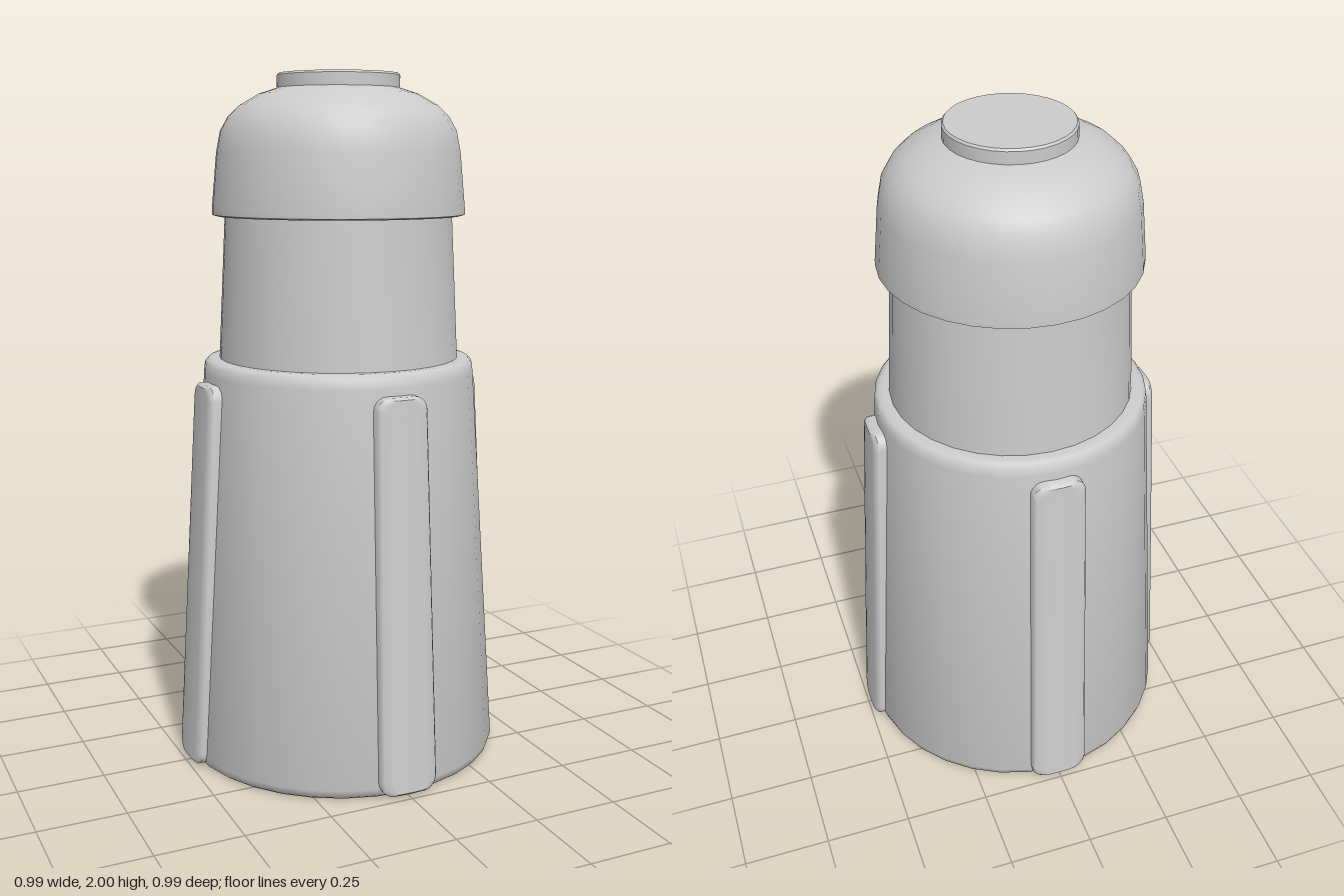
import * as THREE from 'three';
import { toCreasedNormals } from 'three/addons/utils/BufferGeometryUtils.js';

const material = new THREE.MeshStandardMaterial({ color: 0xcccccc });

function addMesh(group, name, geometry, crease = 0.7) {
  const mesh = new THREE.Mesh(toCreasedNormals(geometry, crease), material);
  mesh.name = name;
  group.add(mesh);
  return mesh;
}

// Turned part from [radius, height] pairs, listed upward along the outside
function turned(points) {
  return new THREE.LatheGeometry(points.map(([r, y]) => new THREE.Vector2(r, y)), 32);
}

// Tapered grip rib with round corners and a small bevel, wrapped round the body
function ribGeometry() {
  const steps = 5, rows = steps * 2 + 2, corner = 0.04;
  const geometry = new THREE.BoxGeometry(1, 1, 1, 6, rows, 2);
  const pos = geometry.attributes.position;
  for (let i = 0; i < pos.count; i++) {
    const layer = Math.round((pos.getZ(i) + 0.5) * 2); // 0 back, 1 bevel edge, 2 face
    const row = Math.round((pos.getY(i) + 0.5) * rows);
    const inset = layer === 2 ? 0.007 : 0;
    const bottom = 0.008 + inset, top = 1.13 - inset;
    const fromEnd = Math.min(row, rows - row, steps);
    const angle = (fromEnd / steps) * Math.PI / 2;
    const rise = corner * (1 - Math.cos(angle));
    let y = row < rows / 2 ? bottom + rise : top - rise;
    if (row === rows / 2) y = (bottom + top) / 2;
    const half = 0.088 - 0.012 * y / 1.13 - inset - corner * (1 - Math.sin(angle));
    const x = pos.getX(i) * 2 * half;
    const radius = 0.495 - 0.065 * y / 1.13 - [0.05, 0.008, 0][layer];
    pos.setXYZ(i, x, y, Math.sqrt(radius * radius - x * x));
  }
  return geometry;
}

export function createModel() {
  const group = new THREE.Group();

  // Hollow tapered body: ceiling, inner wall, rounded foot, outer wall, shoulder
  addMesh(group, 'body', turned([
    [0, 1.14], [0.35, 1.14], [0.42, 0.02], [0.428, 0.005], [0.44, 0],
    [0.455, 0], [0.466, 0.008], [0.473, 0.03],
    [0.398, 1.15], [0.395, 1.175], [0.385, 1.187], [0.37, 1.19], [0.33, 1.19],
  ]));

  addMesh(group, 'neck', turned([[0.352, 1.18], [0.329, 1.63]]));

  // Domed cap with an overhanging lip
  addMesh(group, 'cap', turned([
    [0.32, 1.605], [0.355, 1.6], [0.367, 1.604], [0.367, 1.62], [0.352, 1.78],
    [0.34, 1.84], [0.317, 1.88], [0.286, 1.91], [0.23, 1.942], [0.175, 1.96], [0, 1.965],
  ]));

  addMesh(group, 'topButton', turned([[0.177, 1.95], [0.177, 1.994], [0.172, 2], [0, 2]]), 0.5);

  // Four grip ribs
  for (let i = 0; i < 4; i++) {
    addMesh(group, 'gripRib', ribGeometry(), 0.8).rotation.y = i * Math.PI / 2;
  }
  return group;
}
